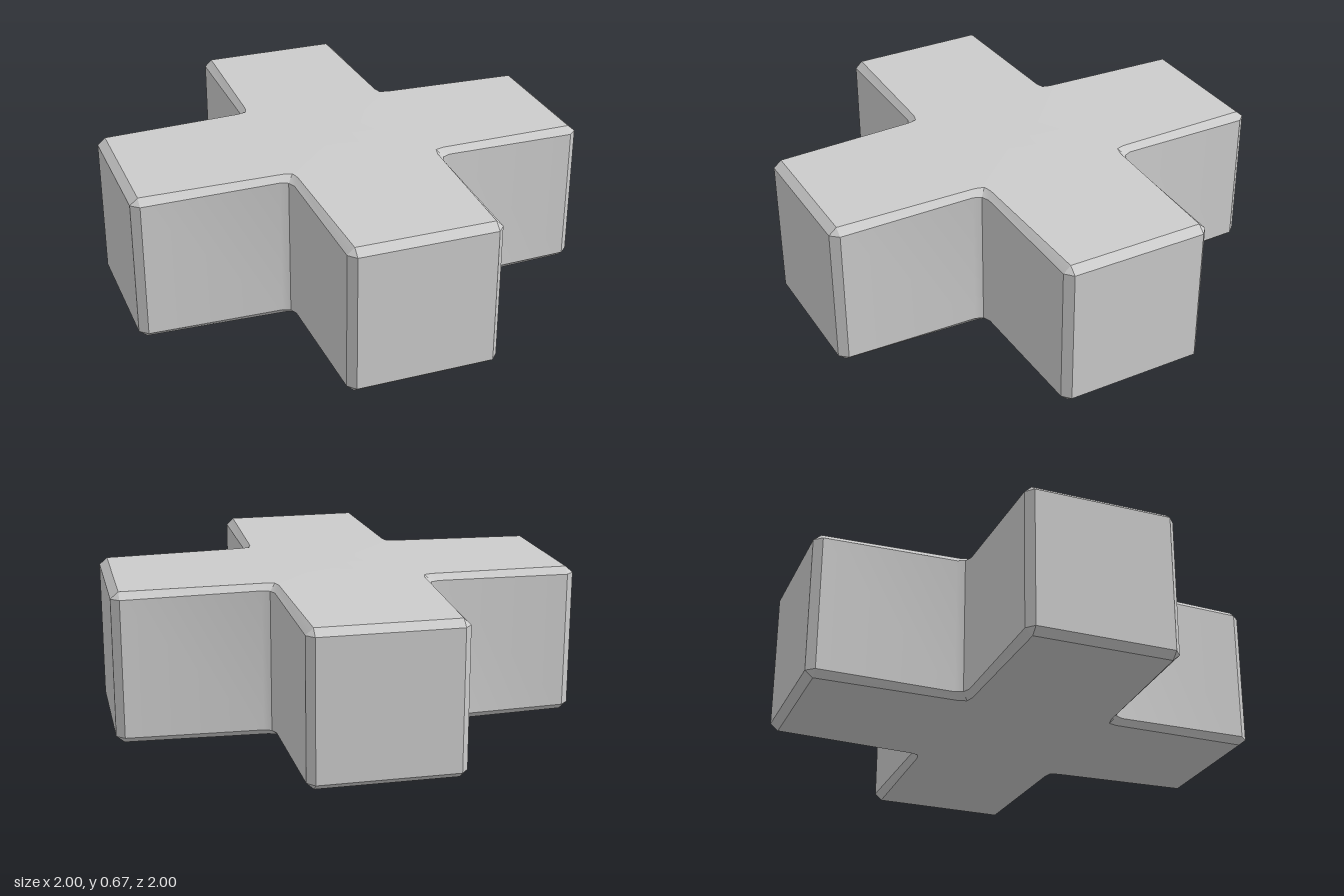
import * as THREE from 'three';
import { toCreasedNormals } from 'three/addons/utils/BufferGeometryUtils.js';

// One quadrant of the plus outline as [x, z]: arm tip, filleted inner corner, next arm tip
const OUTER = [[1, 0.295], [0.965, 0.326], [0.38, 0.333], [0.347, 0.347], [0.333, 0.38], [0.326, 0.965], [0.295, 1]];
const INSET = [[0.966, 0.295], [0.966, 0.295], [0.36, 0.312], [0.322, 0.322], [0.312, 0.36], [0.295, 0.966], [0.295, 0.966]];

// Repeat a quadrant four times around y; tips and inner corners have their own heights
function ring(quadrant, tipY, innerY) {
  const points = [];
  for (let k = 0; k < 4; k++) {
    for (let [x, z] of quadrant) {
      const y = Math.max(x, z) > 0.5 ? tipY : innerY;
      for (let r = 0; r < k; r++) [x, z] = [-z, x];
      points.push(new THREE.Vector3(x, y, z));
    }
  }
  return points;
}

function plusGeometry() {
  const rings = [
    ring(INSET, 0.01, 0.003),
    ring(OUTER, 0.038, 0.03),
    ring(OUTER, 0.635, 0.643),
    ring(INSET, 0.664, 0.67),
  ];
  const bottom = new THREE.Vector3(0, 0, 0);
  const top = new THREE.Vector3(0, 0.673, 0);
  const positions = [];
  const tri = (a, b, c) => {
    if (a.equals(b) || b.equals(c) || a.equals(c)) return;
    for (const p of [a, b, c]) positions.push(p.x, p.y, p.z);
  };

  const n = rings[0].length;
  for (let i = 0; i < n; i++) {
    const j = (i + 1) % n;
    // Slightly domed caps
    tri(bottom, rings[0][i], rings[0][j]);
    tri(top, rings[3][j], rings[3][i]);
    // Lower bevel, walls, upper bevel
    for (let r = 0; r < 3; r++) {
      const lower = rings[r], upper = rings[r + 1];
      tri(lower[i], upper[i], upper[j]);
      tri(lower[i], upper[j], lower[j]);
    }
  }
  const geometry = new THREE.BufferGeometry();
  geometry.setAttribute('position', new THREE.Float32BufferAttribute(positions, 3));
  return toCreasedNormals(geometry, 0.4);
}

export function createModel() {
  const group = new THREE.Group();
  group.name = 'plusBlock';
  const body = new THREE.Mesh(plusGeometry(), new THREE.MeshStandardMaterial({ color: 0xcccccc }));
  body.name = 'bevelledPlusBody';
  group.add(body);
  return group;
}
